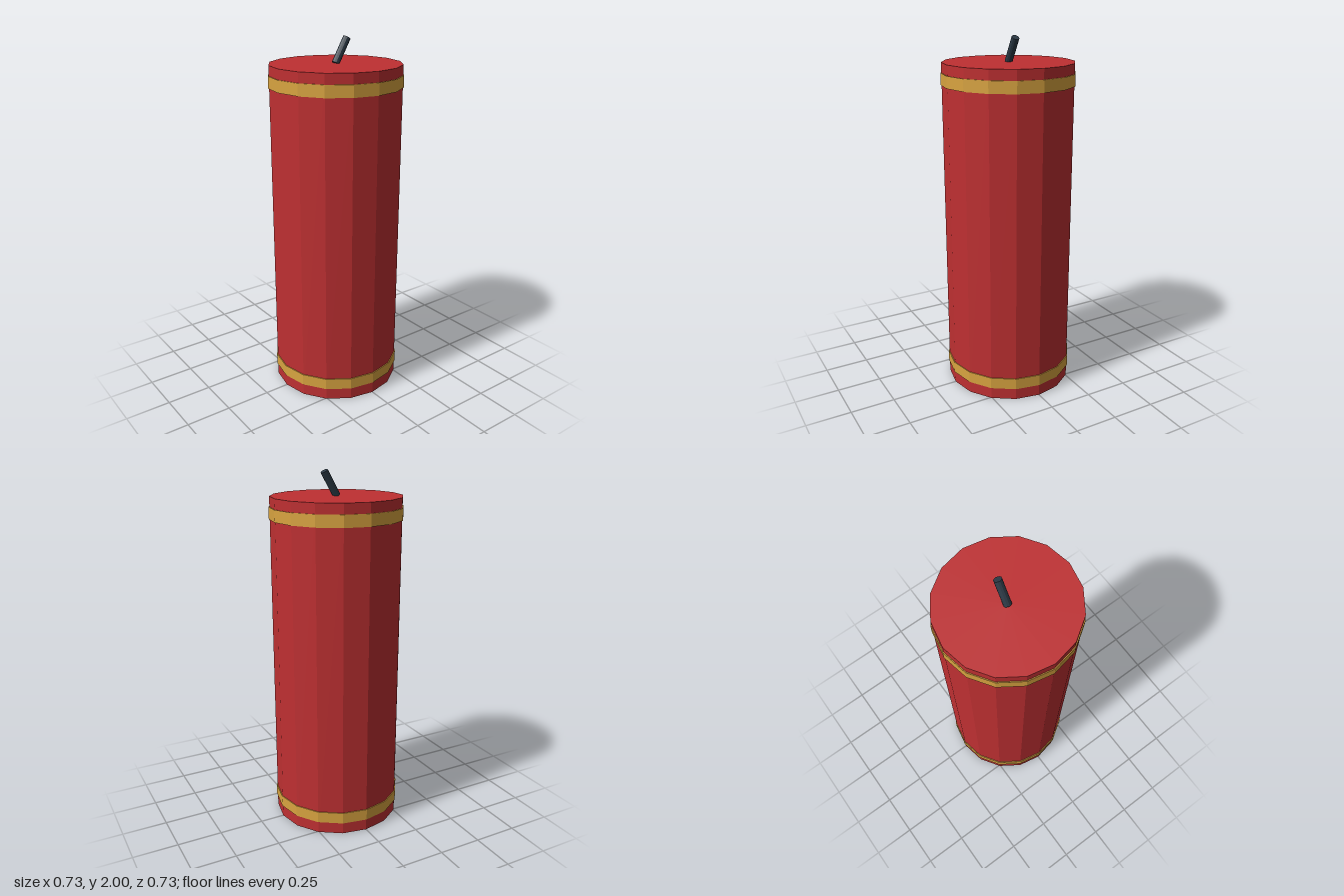
import * as THREE from 'three';

export function createModel() {
  const model = new THREE.Group();
  model.name = 'firecracker';

  const material = (name, color) => {
    const m = new THREE.MeshStandardMaterial({ color, flatShading: true });
    m.name = name;
    return m;
  };
  const red = material('red paper', 0xbf3032);
  const gold = material('gold band', 0xd9a440);
  const dark = material('dark fuse', 0x2d3b47);

  const cylinder = (name, radius, height, sides, mat, y) => {
    const mesh = new THREE.Mesh(new THREE.CylinderGeometry(radius, radius, height, sides), mat);
    mesh.name = name;
    mesh.position.y = y;
    model.add(mesh);
    return mesh;
  };

  // Sixteen-sided paper tube
  cylinder('body', 0.361, 1.86, 16, red, 0.93);

  // Thin bands near both ends
  cylinder('lowerBand', 0.366, 0.065, 16, gold, 0.1);
  cylinder('upperBand', 0.366, 0.065, 16, gold, 1.772);

  // Short fuse leaning to the left from the centre of the top
  const fuse = cylinder('fuse', 0.021, 0.15, 12, dark, 1.925);
  fuse.position.x = 0.037;
  fuse.rotation.z = -Math.PI / 6;

  return model;
}
